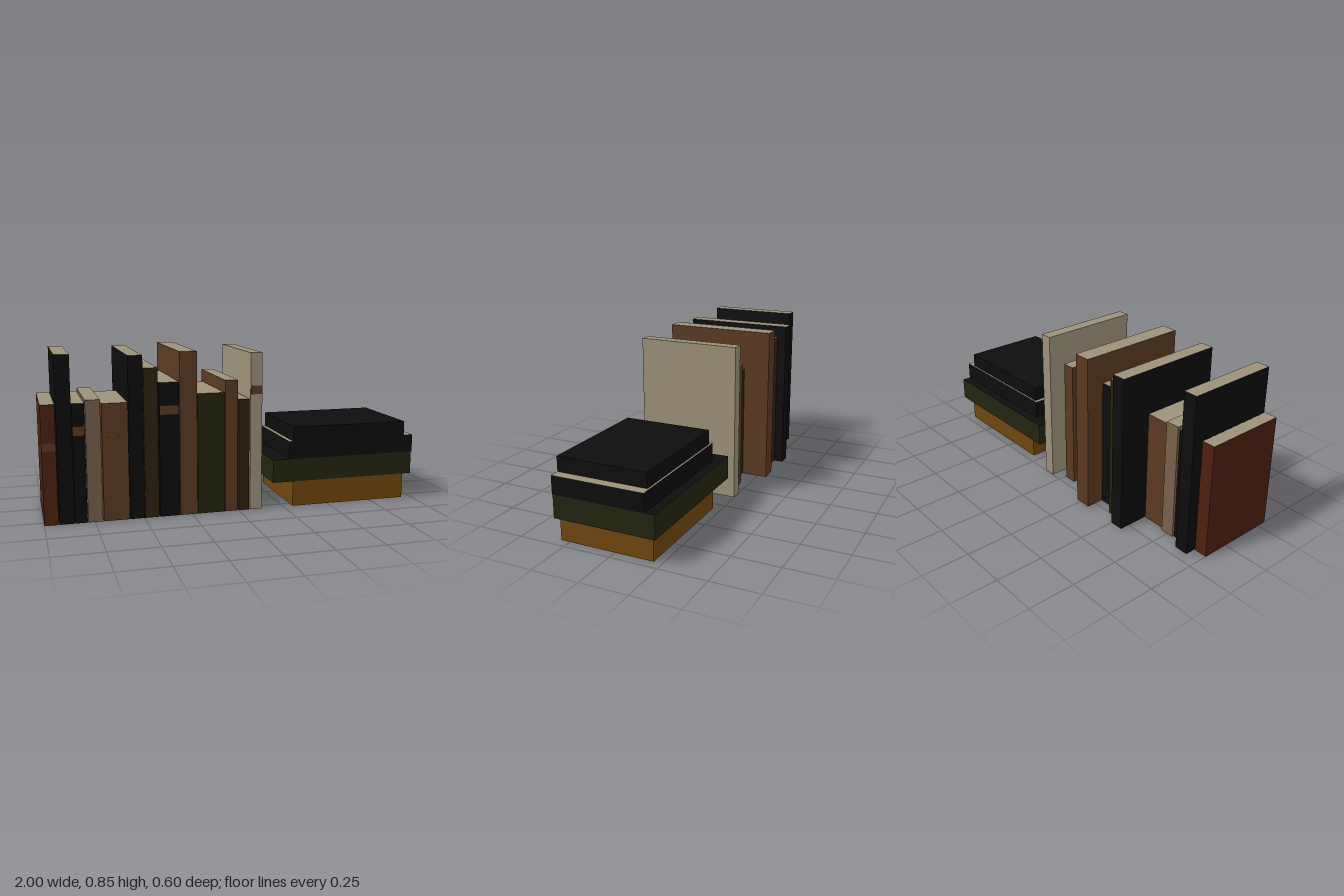
import * as THREE from 'three';

const FRONT = 0.3; // all spines are flush at the front

function paint(name, hex) {
  const m = new THREE.MeshStandardMaterial({ color: hex });
  m.name = name;
  return m;
}

export function createModel() {
  const black = paint('black', 0x0d0d0d);
  const brown = paint('brown', 0x5a3a22);
  const tan = paint('tan', 0x77604a);
  const umber = paint('umber', 0x2c210f);
  const olive = paint('olive', 0x23240f);
  const rust = paint('rust', 0x4d200f);
  const ochre = paint('ochre', 0x70460f);
  const cream = paint('cream', 0x9c9179);

  // A closed book: cover colour all round, with its own top face
  function book(name, x0, x1, y0, y1, back, cover, top) {
    const geo = new THREE.BoxGeometry(x1 - x0, y1 - y0, FRONT - back);
    const mesh = new THREE.Mesh(geo, [cover, cover, top, cover, cover, cover]);
    mesh.position.set((x0 + x1) / 2, (y0 + y1) / 2, (FRONT + back) / 2);
    mesh.name = name;
    return mesh;
  }

  // Upright books: left edge, right edge, height, back z, cover, [band bottom, band top]
  const upright = [
    [-1.0, -0.93, 0.605, -0.14, rust, [0.375, 0.415]],
    [-0.926, -0.852, 0.845, -0.195, black],
    [-0.849, -0.788, 0.605, -0.14, black, [0.445, 0.49]],
    [-0.785, -0.711, 0.62, -0.15, tan],
    [-0.706, -0.575, 0.6, -0.135, brown, [0.39, 0.43]],
    [-0.572, -0.498, 0.832, -0.3, black],
    [-0.496, -0.423, 0.768, -0.25, umber],
    [-0.418, -0.315, 0.693, -0.205, black, [0.53, 0.575]],
    [-0.312, -0.222, 0.845, -0.3, brown],
    [-0.219, -0.078, 0.63, -0.157, olive],
    [-0.074, -0.007, 0.693, -0.205, brown],
    [0.0, 0.056, 0.592, -0.13, umber],
    [0.062, 0.125, 0.83, -0.247, cream, [0.615, 0.66]],
  ];
  const row = new THREE.Group();
  row.name = 'uprightBooks';
  upright.forEach(([x0, x1, h, back, cover, band], i) => {
    row.add(book(`uprightBook${i + 1}`, x0, x1, 0, h, back, cover, cream));
    if (band) {
      // thin label across the spine
      const label = new THREE.Mesh(
        new THREE.BoxGeometry((x1 - x0) * 0.92, band[1] - band[0], 0.003), brown);
      label.position.set((x0 + x1) / 2, (band[0] + band[1]) / 2, FRONT + 0.0005);
      label.name = `spineBand${i + 1}`;
      row.add(label);
    }
  });

  // Books lying flat, from the bottom up
  const stack = new THREE.Group();
  stack.name = 'stackedBooks';
  stack.add(
    book('stackedBook1', 0.302, 0.948, 0, 0.135, -0.205, ochre, ochre),
    book('stackedBook2', 0.19, 0.996, 0.135, 0.258, -0.24, olive, black),
    book('stackedBook3', 0.28, 1.0, 0.258, 0.353, -0.19, black, cream),
    book('stackedBook4', 0.302, 0.948, 0.353, 0.43, -0.18, black, black),
  );

  const model = new THREE.Group();
  model.name = 'books';
  model.add(row, stack);
  return model;
}
